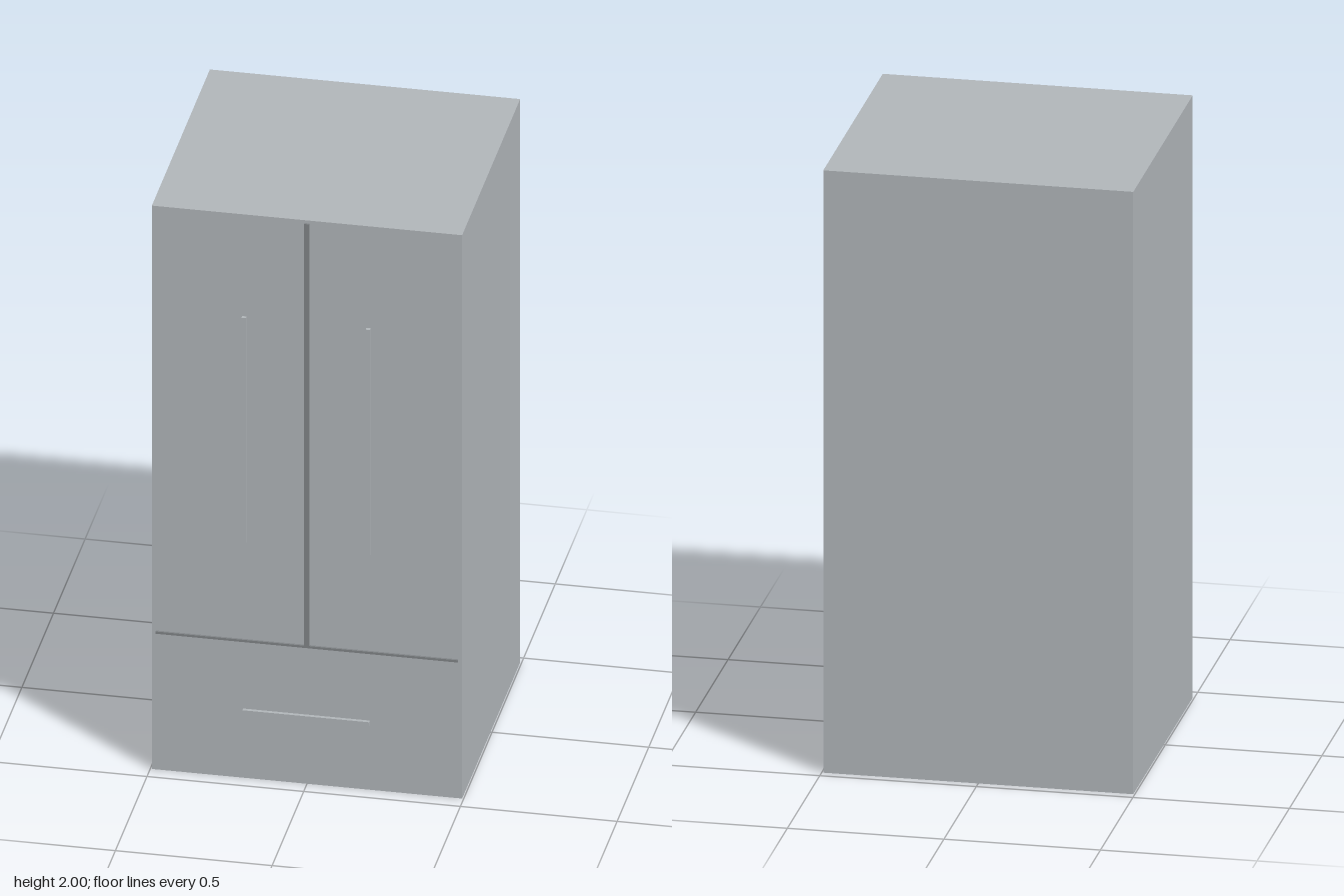
import * as THREE from 'three';

export function createModel() {
  const group = new THREE.Group();
  group.name = 'refrigerator';

  const steel = new THREE.MeshStandardMaterial({ color: 0xb0b5b9 });
  steel.name = 'brushed steel';
  const seam = new THREE.MeshStandardMaterial({ color: 0x808487 });
  seam.name = 'seam grey';

  // Box given by its size and centre
  function box(name, material, [w, h, d], [x, y, z]) {
    const mesh = new THREE.Mesh(new THREE.BoxGeometry(w, h, d), material);
    mesh.name = name;
    mesh.position.set(x, y, z);
    group.add(mesh);
  }

  // Cabinet
  box('cabinet', steel, [0.99, 2, 0.918], [0, 1, -0.011]);

  // Raised seams between the two doors and above the drawer
  box('doorSeam', seam, [0.016, 1.5, 0.008], [0, 1.24, 0.451]);
  box('drawerSeam', seam, [0.964, 0.008, 0.008], [0, 0.489, 0.451]);

  // Slim bar handles standing just off the front
  for (const [name, side] of [['leftDoorHandle', 1], ['rightDoorHandle', -1]]) {
    box(name, steel, [0.014, 0.8, 0.012], [side * 0.198, 1.243, 0.462]);
  }
  box('drawerHandle', steel, [0.404, 0.014, 0.012], [0, 0.243, 0.462]);

  return group;
}
